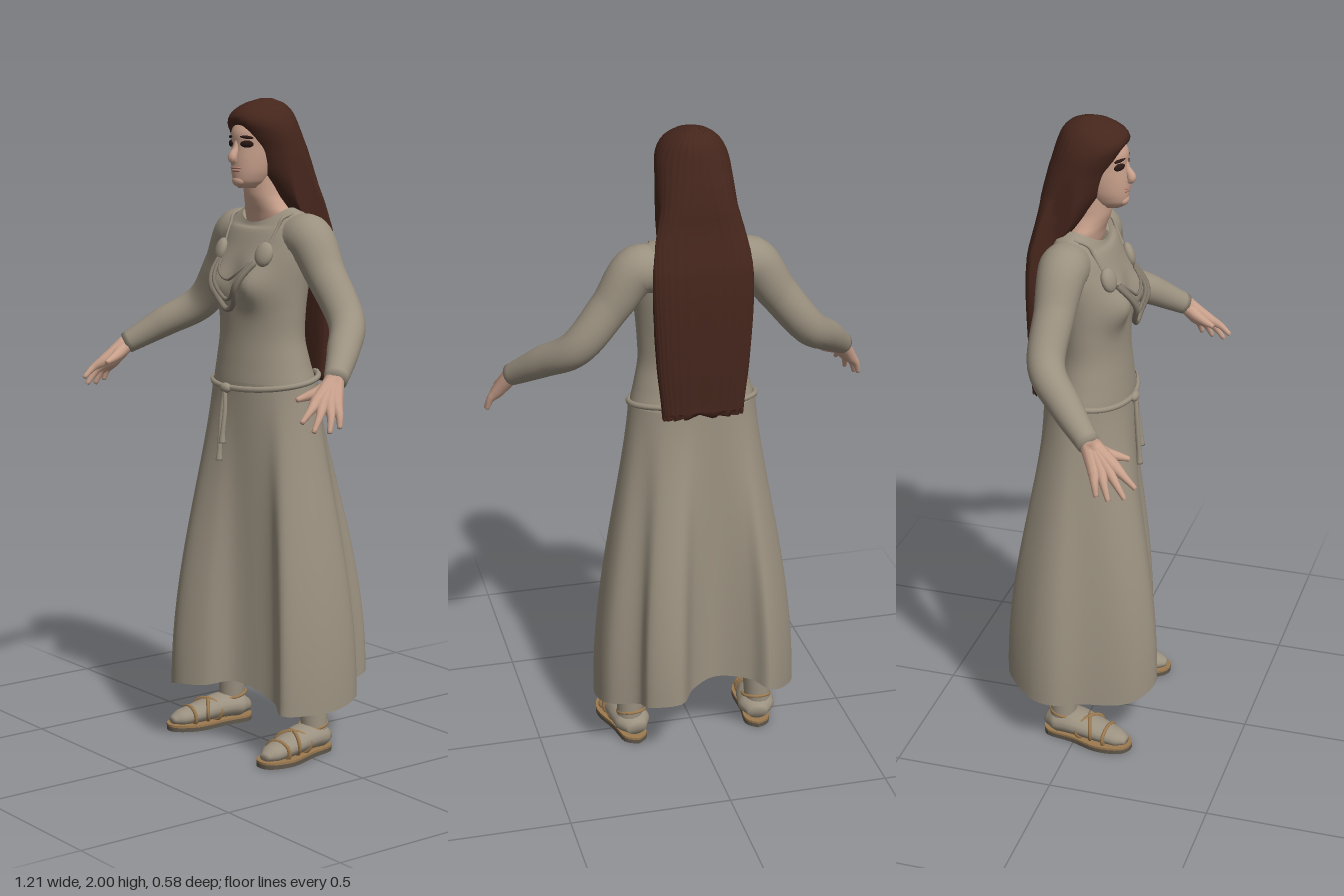
import * as THREE from 'three';
import { mergeVertices } from 'three/addons/utils/BufferGeometryUtils.js';

const V = (x, y, z) => new THREE.Vector3(x, y, z);
const paint = (name, color, side = THREE.FrontSide) => {
  const m = new THREE.MeshStandardMaterial({ color, side });
  m.name = name;
  return m;
};

// Smooth grid: u runs round (closed), v runs along.
function surface(nu, nv, fn) {
  const pos = [], idx = [];
  for (let j = 0; j <= nv; j++) {
    for (let i = 0; i <= nu; i++) pos.push(...fn((i % nu) / nu, j / nv, j).toArray());
  }
  for (let j = 0; j < nv; j++) {
    for (let i = 0; i < nu; i++) {
      const a = j * (nu + 1) + i, b = a + nu + 1;
      idx.push(a, a + 1, b + 1, a, b + 1, b);
    }
  }
  let g = new THREE.BufferGeometry();
  g.setAttribute('position', new THREE.Float32BufferAttribute(pos, 3));
  g.setIndex(idx);
  g = mergeVertices(g, 1e-5);
  g.computeVertexNormals();
  return g;
}

// Cross-section rows [y, halfWidth, zFront, zBack], blended smoothly by height.
function rowAt(rows, y) {
  let i = 0;
  while (i < rows.length - 2 && y > rows[i + 1][0]) i++;
  const t = THREE.MathUtils.clamp((y - rows[i][0]) / (rows[i + 1][0] - rows[i][0]), 0, 1);
  const get = (k) => rows[THREE.MathUtils.clamp(k, 0, rows.length - 1)];
  return [1, 2, 3].map((c) => {
    const [a, b, d, e] = [get(i - 1)[c], get(i)[c], get(i + 1)[c], get(i + 2)[c]];
    return b + 0.5 * t * (d - a + t * (2 * a - 5 * b + 4 * d - e + t * (3 * (b - d) + e - a)));
  });
}

function loft(rows, nu, nv, capped, rule = (p) => p, power = () => 1) {
  const y0 = rows[0][0], y1 = rows[rows.length - 1][0];
  return surface(nu, nv + 2, (u, v, j) => {
    const y = y0 + (y1 - y0) * THREE.MathUtils.clamp((j - 1) / nv, 0, 1);
    const [w, f, b] = rowAt(rows, y);
    const k = capped && (j === 0 || j === nv + 2) ? 0 : 1;
    const a = u * Math.PI * 2, e = power(y, Math.cos(a));
    const bend = (n) => Math.sign(n) * Math.abs(n) ** e;
    const p = V(w * bend(Math.sin(a)) * k, y, (f + b) / 2 + (f - b) / 2 * bend(Math.cos(a)) * k);
    return rule(p, a, k);
  });
}

// Tapered round limb through points, one radius per point, ends closed.
function limb(points, radii, nu = 14, nv = 24) {
  const curve = new THREE.CatmullRomCurve3(points.map((p) => V(...p)));
  let n = V(0.31, 0.2, 0.93);
  return surface(nu, nv + 2, (u, v, j) => {
    const t = THREE.MathUtils.clamp((j - 1) / nv, 0, 1);
    const tan = curve.getTangent(t);
    n = n.clone().addScaledVector(tan, -n.dot(tan)).normalize();
    const bi = tan.clone().cross(n);
    const s = t * (radii.length - 1), i = Math.min(Math.floor(s), radii.length - 2);
    const r = j === 0 || j === nv + 2 ? 0 : THREE.MathUtils.lerp(radii[i], radii[i + 1], s - i);
    const a = u * Math.PI * 2;
    return curve.getPoint(t).addScaledVector(n, r * Math.cos(a)).addScaledVector(bi, r * Math.sin(a));
  });
}

const TORSO = [
  [1.13, 0.196, 0.115, -0.15], [1.2, 0.18, 0.108, -0.13], [1.28, 0.165, 0.1, -0.112],
  [1.36, 0.167, 0.098, -0.112], [1.44, 0.174, 0.098, -0.12], [1.52, 0.183, 0.086, -0.125],
  [1.58, 0.184, 0.064, -0.125], [1.63, 0.172, 0.044, -0.12], [1.655, 0.152, 0.036, -0.112],
  [1.675, 0.1, 0.032, -0.1]];
const NECK = [
  [1.6, 0.085, 0.01, -0.09], [1.63, 0.09, 0.02, -0.09], [1.66, 0.089, 0.027, -0.085],
  [1.68, 0.078, 0.035, -0.08], [1.71, 0.066, 0.045, -0.07], [1.77, 0.06, 0.05, -0.06]];
const HEAD = [
  [1.733, 0.028, 0.08, 0.0], [1.75, 0.046, 0.094, -0.03], [1.78, 0.06, 0.098, -0.05],
  [1.82, 0.07, 0.098, -0.08], [1.86, 0.075, 0.094, -0.09], [1.9, 0.075, 0.095, -0.09],
  [1.94, 0.066, 0.075, -0.08], [1.965, 0.04, 0.045, -0.05]];
const HAIR = [
  [1.15, 0.125, -0.13, -0.175], [1.3, 0.14, -0.125, -0.183], [1.5, 0.152, -0.12, -0.187],
  [1.6, 0.153, -0.1, -0.182], [1.64, 0.151, -0.07, -0.174], [1.69, 0.146, -0.03, -0.163],
  [1.74, 0.132, 0.005, -0.154], [1.78, 0.121, 0.032, -0.15], [1.85, 0.115, 0.058, -0.136],
  [1.9, 0.111, 0.086, -0.122], [1.93, 0.103, 0.1, -0.113], [1.96, 0.086, 0.088, -0.1],
  [1.985, 0.057, 0.05, -0.077], [1.999, 0.018, 0.0, -0.04]];
const HEM = [
  [0.03, 0.215, 0.13], [0.1, 0.2, 0.1], [0.18, 0.17, 0.085], [0.26, 0.155, 0.12], [0.31, 0.155, 0.04],
  [0.323, 0.16, -0.05], [0.3, 0.18, -0.14], [0.215, 0.2, -0.2], [0.2, 0.22, -0.262], [0.1, 0.23, -0.285],
  [0.04, 0.23, -0.2], [-0.04, 0.24, -0.16], [-0.15, 0.23, -0.19], [-0.2, 0.21, -0.232], [-0.3, 0.17, -0.13],
  [-0.315, 0.165, -0.05], [-0.275, 0.16, 0.03], [-0.235, 0.155, 0.15], [-0.2, 0.165, 0.2],
  [-0.13, 0.19, 0.235], [-0.03, 0.2, 0.2]];

const bust = (x, y) => 0.041 * Math.exp(-((Math.abs(x) - 0.085) ** 2) / 0.003 - ((y - 1.445) ** 2) / 0.004);
const chestZ = (x, y) => {
  const [w, f, b] = rowAt(TORSO, y);
  return (f + b) / 2 + (f - b) / 2 * Math.sqrt(Math.max(0, 1 - (x / w) ** 2)) + bust(x, y);
};

export function createModel() {
  const model = new THREE.Group();
  const cloth = paint('dress cloth', 0x9b9180, THREE.DoubleSide);
  const skin = paint('skin', 0xc9a18c), hair = paint('hair', 0x45261c, THREE.DoubleSide);
  const dark = paint('eye dark', 0x2a1814), lip = paint('lips', 0xad7d6e);
  const leather = paint('strap leather', 0x9c7a50), sole = paint('sole', 0x5f574b);
  const metal = paint('chain metal', 0x81786a);
  const add = (name, geo, mat, parent = model) => {
    const m = new THREE.Mesh(geo, mat);
    m.name = name;
    parent.add(m);
    return m;
  };
  const blob = (name, mat, p, s) => {
    const m = add(name, new THREE.SphereGeometry(1, 18, 12), mat);
    m.position.set(...p);
    m.scale.set(...s);
    return m;
  };

  // Bodice with a scooped neckline
  add('bodice', loft(TORSO, 56, 50, false, (p, a) => {
    if (Math.cos(a) > 0) {
      p.z += bust(p.x, p.y) * Math.cos(a) ** 0.5;
      p.y -= 0.045 * Math.cos(a) ** 1.5 * THREE.MathUtils.smoothstep(p.y, 1.6, 1.675);
    }
    return p;
  }), cloth);

  // Skirt flaring from the waist into an uneven, folded hem
  const hem = new THREE.CatmullRomCurve3(HEM.map((p) => V(...p)), true);
  add('skirt', surface(126, 30, (u, v) => {
    const h = hem.getPoint(u), t = 1 - v, s = Math.sin(t * Math.PI / 2) ** 1.35;
    const a = u * Math.PI * 2 + 0.12;
    return V(THREE.MathUtils.lerp(0.197 * Math.sin(a), h.x, s), THREE.MathUtils.lerp(1.15, h.y, t),
      THREE.MathUtils.lerp(-0.018 + 0.135 * Math.cos(a), h.z, s));
  }), cloth);

  // Rope belt, knot and hanging ends
  const ring = Array.from({ length: 24 }, (_, i) => {
    const a = i / 24 * Math.PI * 2;
    return V(0.196 * Math.sin(a), 1.152 - 0.022 * Math.cos(a), -0.018 + 0.137 * Math.cos(a));
  });
  add('belt', new THREE.TubeGeometry(new THREE.CatmullRomCurve3(ring, true), 96, 0.009, 8, true), cloth);
  blob('beltKnot', cloth, [-0.012, 1.128, 0.125], [0.024, 0.016, 0.014]);
  [[-0.02, 0.905], [-0.004, 0.96]].forEach(([x, y]) => {
    add('beltEnd', limb([[-0.012, 1.13, 0.128], [x, 1.06, 0.134], [x, y + 0.03, 0.143], [x, y, 0.145]],
      [0.007, 0.007, 0.008, 0.011], 8, 16), cloth);
  });

  // Neck, head and face
  add('neck', loft(NECK, 36, 24, true), skin);
  add('head', loft(HEAD, 36, 30, true), skin);
  add('nose', limb([[0, 1.875, 0.086], [0, 1.85, 0.093], [0, 1.824, 0.106], [0, 1.812, 0.097]],
    [0.009, 0.011, 0.015, 0.011], 12, 14), skin);
  blob('upperLip', lip, [0, 1.794, 0.094], [0.026, 0.0045, 0.008]);
  blob('lowerLip', lip, [0, 1.786, 0.093], [0.022, 0.0055, 0.009]);
  blob('chin', skin, [0, 1.755, 0.082], [0.026, 0.018, 0.017]);

  // Long hair: arched over the forehead, narrow beside the neck, then falling down the back
  add('hair', loft(HAIR, 96, 70, true, (p, a, k) => {
    if (Math.cos(a) < 0.3) p.z += 0.0015 * Math.sin(a * 31) * k;
    else p.z -= 0.02 * Math.exp(-((p.x / 0.035) ** 2) - ((p.y - 1.91) / 0.018) ** 2);
    const limit = 0.116 + 0.65 * Math.max(0, -p.z - 0.1);
    p.x = THREE.MathUtils.clamp(p.x, -limit, limit);
    if (p.y < 1.16) p.y += 0.01 * Math.sin(a * 17) * k;
    return p;
  }, (y, c) => THREE.MathUtils.lerp(0.6, 1, THREE.MathUtils.smoothstep(y, c > 0 ? 1.6 : 1.72, c > 0 ? 1.75 : 1.95))), hair);

  for (const s of [-1, 1]) {
    const mirror = (pts) => pts.map(([x, y, z]) => [s * x, y, z]);

    // Dark-lined eyes and brows
    blob('eye', dark, [s * 0.038, 1.866, 0.081], [0.023, 0.011, 0.007]).rotation.y = s * 0.42;
    const brow = blob('eyebrow', dark, [s * 0.037, 1.886, 0.0815], [0.024, 0.005, 0.007]);
    brow.rotation.set(0, s * 0.42, -s * 0.08);

    // Sleeve
    add('sleeve', limb(mirror([[0.09, 1.57, -0.045], [0.172, 1.584, -0.048], [0.254, 1.482, -0.05],
      [0.36, 1.353, -0.042], [0.45, 1.283, 0.045], [0.528, 1.213, 0.138]]),
    [0.07, 0.075, 0.061, 0.055, 0.048, 0.034], 24, 40), cloth);

    // Hand: fingers fan out from the wrist and merge into the palm
    const tips = [[0.6, 1.09, 0.18], [0.598, 1.08, 0.215], [0.58, 1.084, 0.258], [0.557, 1.11, 0.283]];
    tips.forEach((t, i) => {
      const mid = [0.568 - i * 0.009, 1.15 + i * 0.004, 0.165 + i * 0.017];
      add('finger', limb(mirror([[0.525, 1.215, 0.133 + i * 0.004], mid,
        [(mid[0] + t[0]) / 2 + 0.005, (mid[1] + t[1]) / 2 + 0.004, (mid[2] + t[2]) / 2], t]),
      [0.025, 0.019, 0.0115, 0.007], 10, 18), skin);
    });
    add('thumb', limb(mirror([[0.523, 1.21, 0.14], [0.51, 1.185, 0.18], [0.495, 1.172, 0.215], [0.485, 1.163, 0.245]]),
      [0.024, 0.019, 0.013, 0.007], 10, 18), skin);

    // Shoulder strap and oval brooch
    const strap = [1.56, 1.59, 1.62, 1.645].map((y, i) => {
      const x = 0.107 + i * 0.005;
      return [x, y, chestZ(x, y) - 0.001];
    });
    add('shoulderStrap', limb(mirror([...strap, [0.128, 1.66, -0.03]]), [0.005, 0.005, 0.005, 0.005, 0.005], 8), cloth);
    const brooch = blob('brooch', cloth, [s * 0.107, 1.54, chestZ(0.107, 1.54) + 0.006], [0.03, 0.038, 0.018]);
    brooch.rotation.set(-0.3, s * 0.35, 0);

    // Legs in wrapped stockings
    add('leg', limb(mirror([[0.13, 0.75, -0.03], [0.17, 0.45, -0.04], [0.205, 0.2, -0.045], [0.214, 0.06, -0.045]]),
      [0.075, 0.062, 0.045, 0.041], 18), cloth);

    // Sandalled foot: dark sole with a leather footbed on top
    const foot = new THREE.Group();
    foot.name = 'foot';
    foot.position.set(s * 0.215, 0, 0);
    foot.rotation.y = s * 0.15;
    model.add(foot);
    const outline = new THREE.Shape(new THREE.SplineCurve([[0, -0.115], [0.038, -0.085], [0.045, 0], [0.061, 0.1],
      [0.037, 0.17], [0, 0.188], [-0.04, 0.165], [-0.059, 0.09], [-0.043, 0], [-0.038, -0.085], [0, -0.115]]
      .map(([x, y]) => new THREE.Vector2(x, y))).getPoints(40));
    const slab = (name, top, depth, mat) => add(name, new THREE.ExtrudeGeometry(outline, { depth, bevelEnabled: false })
      .rotateX(Math.PI / 2).translate(0, top, 0), mat, foot);
    slab('sole', 0.013, 0.013, sole);
    slab('footbed', 0.02, 0.007, leather);
    add('footBody', limb([[0, 0.045, -0.1], [0, 0.054, -0.06], [0, 0.057, 0], [0, 0.044, 0.08], [0, 0.034, 0.145], [0, 0.03, 0.175]],
      [0.02, 0.039, 0.039, 0.032, 0.025, 0.011], 16), cloth, foot).scale.x = 1.5;
    [[0.11, 0.03, 0.037, 0], [0.045, 0.036, 0.049, 0.45], [0.045, 0.036, 0.049, -0.45]].forEach(([z, r, y, turn]) => {
      const band = add('sandalStrap', new THREE.TorusGeometry(r, 0.006, 8, 28), leather, foot);
      band.position.set(0, y, z);
      band.rotation.y = turn;
      band.scale.x = 1.5;
    });
    const anklet = add('ankleStrap', new THREE.TorusGeometry(0.044, 0.005, 8, 28), leather, foot);
    anklet.position.set(0, 0.09, -0.045);
    anklet.rotation.x = Math.PI / 2 + 0.25;
  }

  // Chains slung between the brooches
  [[1.37, 0.09, 0.009], [1.4, 0.078, 0.006], [1.46, 0.07, 0.004]].forEach(([low, half, r]) => {
    const pts = Array.from({ length: 13 }, (_, i) => {
      const t = i / 6 - 1, x = t * half, y = low + (1.515 - low) * Math.abs(t) ** 1.9;
      return [x, y, chestZ(x, y) + 0.007 + 0.02 * (1 - t * t)];
    });
    add('chain', limb(pts, pts.map(() => r), 8, 48), metal);
  });
  return model;
}
